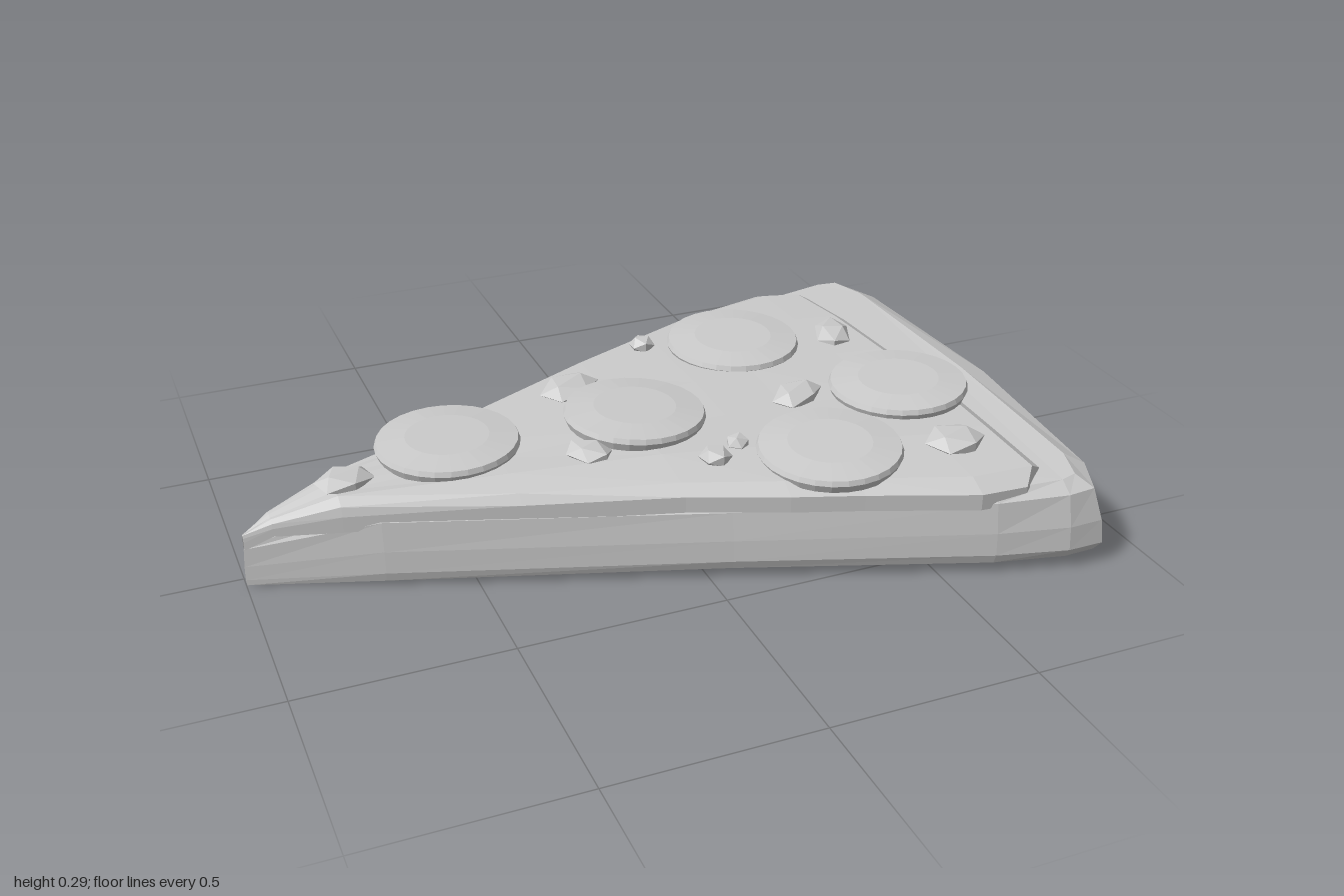
import * as THREE from 'three';

const material = new THREE.MeshStandardMaterial({ color: 0xcccccc, flatShading: true, side: THREE.DoubleSide });

// Piecewise-linear curve through [x, value] pairs
function sample(table, x) {
  for (let i = 1; i < table.length; i++) {
    const [x0, a] = table[i - 1], [x1, b] = table[i];
    if (x <= x1) return a + (b - a) * Math.max(0, (x - x0) / (x1 - x0));
  }
  return table[table.length - 1][1];
}

// Height of the bread shoulder, its underside and the cheese surface along the slice
const breadTop = (x) => sample([[-1, 0.11], [-0.85, 0.165], [-0.6, 0.2], [0.1, 0.19], [0.8, 0.21], [1, 0.215]], x);
const breadBase = (x) => sample([[-1, 0], [-0.5, 0.02], [0, 0.025], [1, 0.03]], x);
const cheeseTop = (x) => sample([[-1, 0.13], [-0.93, 0.17], [-0.78, 0.215], [-0.4, 0.235], [0, 0.25], [0.4, 0.247], [0.75, 0.245]], x);

function meshFrom(name, positions, index) {
  const g = new THREE.BufferGeometry();
  g.setAttribute('position', new THREE.Float32BufferAttribute(positions, 3));
  g.setIndex(index);
  const flat = g.toNonIndexed();
  flat.computeVertexNormals();
  const mesh = new THREE.Mesh(flat, material);
  mesh.name = name;
  return mesh;
}

// Bread and crust: stacked outlines, widest near the bottom
function makeBread() {
  const outer = [[-1, 0.03], [-0.7, 0.155], [0.05, 0.425], [0.62, 0.635], [0.79, 0.68], [0.88, 0.68], [0.94, 0.56],
    [1, 0.03], [0.955, -0.52], [0.89, -0.65], [0.8, -0.685], [0.5, -0.61], [-0.4, -0.21]];
  const inner = [[-0.99, 0.03], [-0.7, 0.13], [0.05, 0.39], [0.62, 0.6], [0.79, 0.62], [0.83, 0.61], [0.86, 0.52],
    [0.88, 0.03], [0.87, -0.5], [0.84, -0.6], [0.79, -0.61], [0.5, -0.56], [-0.4, -0.18]];
  const n = outer.length, pos = [], index = [];
  // Each ring: inset toward the inner outline, height between base and top
  const rings = [[0.22, 0], [0, 0.13], [0.1, 0.45], [0.42, 0.87], [1, 1]];
  for (const [inset, level] of rings) {
    outer.forEach(([x, z], i) => {
      const px = x + (inner[i][0] - x) * inset, pz = z + (inner[i][1] - z) * inset;
      const lo = breadBase(x);
      pos.push(px, lo + (breadTop(x) - lo) * level, pz);
    });
  }
  for (let r = 0; r < rings.length - 1; r++) {
    for (let i = 0; i < n; i++) {
      const j = (i + 1) % n, a = r * n + i, b = r * n + j;
      index.push(a, b, b + n, a, b + n, a + n);
    }
  }
  const caps = THREE.ShapeUtils.triangulateShape(inner.map(([x, z]) => new THREE.Vector2(x, z)), []);
  const last = (rings.length - 1) * n;
  for (const [a, b, c] of caps) {
    index.push(a, b, c, last + a, last + c, last + b);
  }
  return meshFrom('breadAndCrust', pos, index);
}

// Cheese sheet: cross-sections from tip to crust, with drooping edges
function makeCheese() {
  // x, back edge z, front edge z
  const stations = [[-0.995, 0.025, 0.035], [-0.93, 0, 0.06], [-0.78, -0.05, 0.115], [-0.4, -0.19, 0.25],
    [-0.05, -0.35, 0.375], [0.17, -0.45, 0.465], [0.33, -0.52, 0.52], [0.58, -0.585, 0.615], [0.69, -0.56, 0.62]];
  // Fraction across, height below the surface
  const section = [[0, 0.07], [0, 0.03], [0.04, 0.008], [0.2, 0], [0.4, -0.004], [0.6, 0.002], [0.8, -0.003], [0.96, 0.012], [1, 0.035], [1, 0.075]];
  const wave = [-0.02, -0.02, -0.02, 0.0, 0.01, 0.04, 0.03, 0.04, 0.0, 0.0];
  const m = section.length, pos = [], index = [];
  const addStation = ([x, z0, z1], shift, drop) => section.forEach(([f, d], k) => {
    const px = x + shift * (wave[k] + 0.005);
    pos.push(px, cheeseTop(x) - d * (x < -0.9 ? 0.5 : 1) - drop, z0 + (z1 - z0) * f);
  });
  stations.forEach((s, i) => addStation(s, i === stations.length - 1 ? 1 : 0, 0));
  // Thick lip facing the crust
  addStation([0.725, -0.57, 0.6], 1, 0.022);
  addStation([0.725, -0.57, 0.6], 1, 0.07);
  for (let i = 0; i < stations.length + 1; i++) {
    for (let k = 0; k < m - 1; k++) {
      const a = i * m + k, b = a + m;
      index.push(a, a + 1, b + 1, a, b + 1, b);
    }
  }
  return meshFrom('cheese', pos, index);
}

// Sausage disc with a shallow crown
function makeDisc([x, y, z, tiltX, tiltZ]) {
  const profile = [[0, -0.02], [0.165, -0.02], [0.173, 0], [0.168, 0.012], [0.1, 0.02], [0, 0.02]]
    .map(([r, h]) => new THREE.Vector2(r, h));
  const disc = new THREE.Mesh(new THREE.LatheGeometry(profile, 28), material);
  disc.position.set(x, y, z);
  disc.rotation.set(tiltX, 0, tiltZ);
  disc.name = 'sausageDisc';
  return disc;
}

// Small faceted topping lump
function makeChunk([x, z, w, d, turn]) {
  const chunk = new THREE.Mesh(new THREE.IcosahedronGeometry(1, 0), material);
  chunk.scale.set(w, 0.025, d);
  chunk.rotation.y = turn;
  chunk.position.set(x, cheeseTop(x) + 0.004, z);
  chunk.name = 'toppingChunk';
  return chunk;
}

export function createModel() {
  const slice = new THREE.Group();
  slice.name = 'pizzaSlice';
  slice.add(makeBread(), makeCheese());

  const discs = new THREE.Group();
  discs.name = 'sausageDiscs';
  [[-0.49, 0.242, -0.03, 0, 0], [-0.04, 0.265, 0.035, 0, -0.04], [0.355, 0.257, -0.26, 0.03, 0],
    [0.63, 0.261, 0.13, 0, 0.02], [0.325, 0.252, 0.35, 0.04, 0.02]].forEach((d) => discs.add(makeDisc(d)));

  const chunks = new THREE.Group();
  chunks.name = 'toppingChunks';
  [[-0.75, 0.02, 0.075, 0.06, 0.3], [-0.13, -0.18, 0.09, 0.065, 0.6], [0.13, -0.34, 0.035, 0.035, 0],
    [0.63, -0.22, 0.05, 0.09, -0.4], [-0.2, 0.15, 0.05, 0.065, 0.5], [0.06, 0.29, 0.04, 0.04, 0.2],
    [0.135, 0.25, 0.03, 0.03, 0.9], [0.38, 0.07, 0.085, 0.055, 0.6], [0.62, 0.42, 0.08, 0.07, 0.4],
  ].forEach((c) => chunks.add(makeChunk(c)));

  slice.add(discs, chunks);
  return slice;
}
